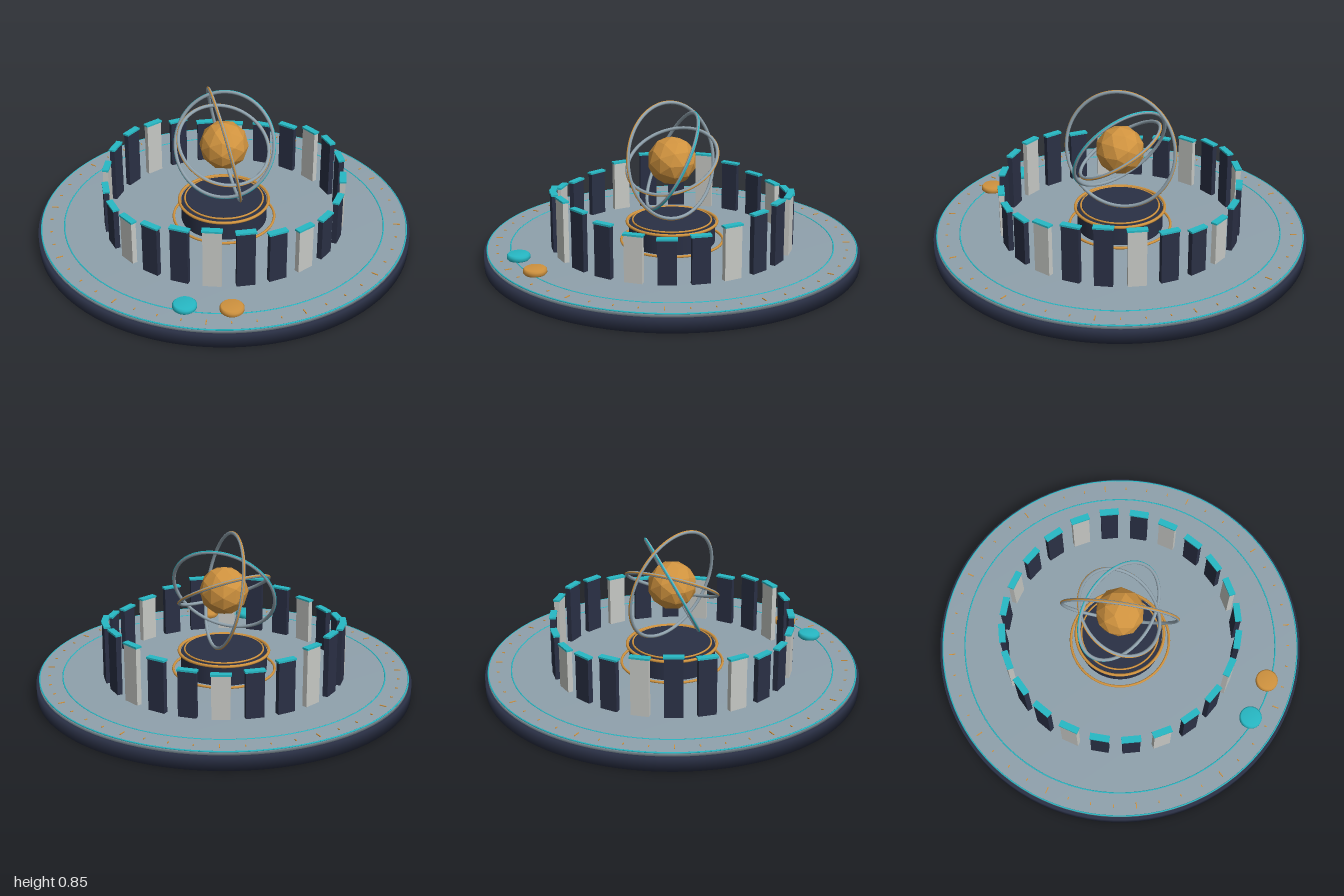
import * as THREE from 'three';

const mat = (name, color) => {
  const m = new THREE.MeshStandardMaterial({ color });
  m.name = name;
  return m;
};

export function createModel() {
  const model = new THREE.Group();
  model.name = 'orreryPlaza';
  const navy = mat('navy', 0x2a3045);
  const steel = mat('steel', 0x8fa1ac);
  const pale = mat('paleStone', 0xc6c8c4);
  const teal = mat('teal', 0x27b9c5);
  const copper = mat('copper', 0xd0933f);

  const add = (name, geo, material, x = 0, y = 0, z = 0, parent = model) => {
    const mesh = new THREE.Mesh(geo, material);
    mesh.name = name;
    mesh.position.set(x, y, z);
    parent.add(mesh);
    return mesh;
  };
  const lathe = (pts, seg = 96) =>
    new THREE.LatheGeometry(pts.map(([x, y]) => new THREE.Vector2(x, y)), seg);
  const disc = (r, y0, y1, seg) => lathe([[0, y0], [r, y0], [r, y1], [0, y1]], seg);
  const flatRing = (name, r, tube, y, material) => {
    const ring = add(name, new THREE.TorusGeometry(r, tube, 8, 96), material, 0, y, 0);
    ring.rotation.x = Math.PI / 2;
  };

  // Round platform with inlaid rings
  add('platformBase', disc(1, 0, 0.072), navy);
  add('platformDeck', disc(0.985, 0.07, 0.092), steel);
  flatRing('outerInlay', 0.982, 0.004, 0.09, teal);
  flatRing('innerInlay', 0.86, 0.004, 0.091, teal);

  // Tick marks round the deck, longer every thirty degrees
  const ticks = new THREE.Group();
  ticks.name = 'tickMarks';
  model.add(ticks);
  for (let i = 0; i < 48; i++) {
    const a = (i / 48) * Math.PI * 2;
    const length = i % 4 ? 0.014 : 0.035;
    const tick = add('tick', new THREE.BoxGeometry(0.005, 0.006, length), copper,
      0.93 * Math.sin(a), 0.093, 0.93 * Math.cos(a), ticks);
    tick.rotation.y = a;
  }

  // Circle of standing panels whose height rises and falls three times
  const panels = new THREE.Group();
  panels.name = 'panelCircle';
  model.add(panels);
  for (let i = 0; i < 24; i++) {
    const a = (i / 24) * Math.PI * 2;
    const top = 0.375 + 0.045 * Math.cos(3 * a);
    const h = top - 0.01 - 0.09;
    const panel = new THREE.Group();
    panel.name = 'panel';
    panel.position.set(0.63 * Math.sin(a), 0.09, 0.63 * Math.cos(a));
    panel.rotation.y = a;
    add('panelBody', new THREE.BoxGeometry(0.094, h, 0.028), i % 3 ? navy : pale, 0, h / 2, 0, panel);
    add('panelCap', new THREE.BoxGeometry(0.104, 0.01, 0.035), teal, 0, h + 0.005, 0, panel);
    panels.add(panel);
  }

  // Central pedestal with copper trims
  add('pedestal', new THREE.CylinderGeometry(0.23, 0.23, 0.11, 64), navy, 0, 0.145, 0);
  add('pedestalStep', new THREE.CylinderGeometry(0.205, 0.205, 0.015, 64), navy, 0, 0.207, 0);
  flatRing('pedestalFootRing', 0.272, 0.007, 0.099, copper);
  flatRing('pedestalTopRing', 0.24, 0.008, 0.203, copper);
  flatRing('pedestalInnerRing', 0.21, 0.005, 0.211, copper);

  // Faceted core and its three tilted orbit rings
  const coreMaterial = copper.clone();
  coreMaterial.name = 'facetedCopper';
  coreMaterial.flatShading = true;
  add('core', new THREE.IcosahedronGeometry(0.13, 1), coreMaterial, 0, 0.537, 0);
  const orbits = [
    [0.276, [-0.266, 0.463, 0.846], teal],
    [0.305, [0.938, 0.212, -0.272], copper],
    [0.245, [0.288, 0.854, 0.433], copper],
  ];
  for (const [r, normal, accent] of orbits) {
    const orbit = new THREE.Group();
    orbit.name = 'orbitRing';
    orbit.position.y = 0.537;
    orbit.quaternion.setFromUnitVectors(new THREE.Vector3(0, 0, 1),
      new THREE.Vector3(...normal).normalize());
    add('orbitBand', new THREE.TorusGeometry(r, 0.009, 10, 96), steel, 0, 0, 0, orbit);
    add('orbitTrim', new THREE.TorusGeometry(r + 0.006, 0.0045, 8, 96), accent, 0, 0, 0, orbit);
    model.add(orbit);
  }

  // Two rounded buttons at the front edge
  const button = [[0, 0.09], [0.05, 0.09], [0.06, 0.1], [0.06, 0.117], [0.052, 0.125], [0, 0.125]];
  add('tealButton', lathe(button, 40), teal, -0.115, 0, 0.83);
  add('copperButton', lathe(button, 40), copper, 0.115, 0, 0.83);

  return model;
}
